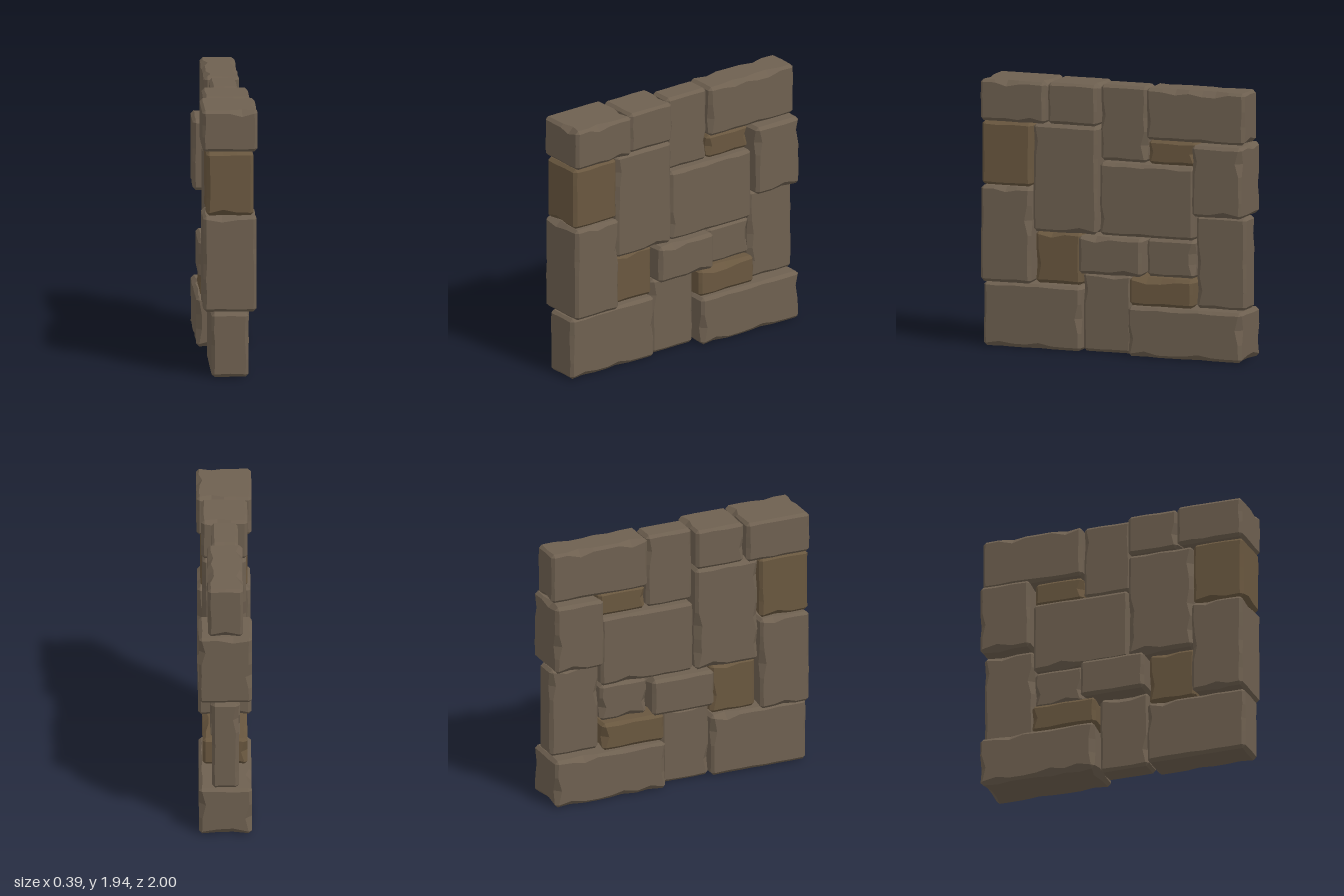
import * as THREE from 'three';

// Each stone: [z max, z min, y min, y max, half thickness, browner tint]
const STONES = [
  // top course
  [1.0, 0.505, 1.64, 1.94, 0.197], [0.495, 0.12, 1.64, 1.94, 0.165],
  [0.115, -0.24, 1.39, 1.94, 0.095], [-0.245, -1.0, 1.565, 1.94, 0.125],
  // middle courses
  [1.0, 0.62, 1.175, 1.635, 0.168, 1], [0.61, 0.12, 0.855, 1.635, 0.155],
  [0.11, -0.615, 0.855, 1.38, 0.13], [-0.25, -0.615, 1.385, 1.56, 0.09, 1],
  [-0.62, -1.0, 1.04, 1.555, 0.19], [1.0, 0.615, 0.475, 1.17, 0.19],
  [0.61, 0.26, 0.475, 0.85, 0.105, 1], [0.25, -0.235, 0.575, 0.85, 0.19],
  [-0.245, -0.61, 0.575, 0.85, 0.105], [-0.62, -1.0, 0.365, 1.035, 0.095],
  // bottom course
  [1.0, 0.255, 0.0, 0.465, 0.132], [0.25, -0.12, 0.0, 0.57, 0.09],
  [-0.13, -0.615, 0.365, 0.57, 0.16, 1], [-0.13, -1.0, 0.0, 0.36, 0.188],
];
const BEVEL = 0.022;

// Repeatable value in 0..1 from an integer key
function hash(n) {
  const s = Math.sin(n * 12.9898 + 4.137) * 43758.5453;
  return s - Math.floor(s);
}

// Box with bevelled edges; bevel width varies along each edge to make chips
function stoneGeometry(size, seed) {
  const segs = size.map((s) => Math.max(4, Math.round(s / 0.11) + 2));
  const geo = new THREE.BoxGeometry(1, 1, 1, ...segs);
  const pos = geo.attributes.position;

  function bevel(a, sa, b, sb, c, station) {
    if (station <= 1 || station >= segs[c] - 1) return BEVEL;
    // the key depends on the edge only, not on the order of its two faces
    const sides = a < b ? sa * 3 + sb : sb * 3 + sa;
    const key = seed * 97 + c * 31 + sides * 7 + station * 3.7;
    const chip = hash(key);
    return BEVEL * (0.75 + 0.5 * hash(key + 0.5)) + (chip > 0.84 ? 0.022 : 0);
  }

  for (let v = 0; v < pos.count; v++) {
    const unit = [pos.getX(v), pos.getY(v), pos.getZ(v)];
    const idx = unit.map((u, a) => Math.round((u + 0.5) * segs[a]));
    const sign = unit.map((u) => (u < 0 ? -1 : 1));
    const extreme = idx.map((i, a) => i === 0 || i === segs[a]);
    const near = idx.map((i, a) => i === 1 || i === segs[a] - 1);
    const count = extreme.filter(Boolean).length;
    const p = idx.map((i, a) => {
      const h = size[a] / 2;
      if (extreme[a]) return sign[a] * h;
      return -h + BEVEL + ((i - 1) / (segs[a] - 2)) * (size[a] - 2 * BEVEL);
    });
    if (count === 3) {
      for (let a = 0; a < 3; a++) p[a] -= sign[a] * BEVEL * 0.66;
    } else if (count === 2) {
      const c = extreme.indexOf(false), a = (c + 1) % 3, b = (c + 2) % 3;
      const w = bevel(a, sign[a], b, sign[b], c, idx[c]);
      p[a] -= sign[a] * w / 2;
      p[b] -= sign[b] * w / 2;
    } else {
      const a = extreme.indexOf(true);
      for (const b of [(a + 1) % 3, (a + 2) % 3]) {
        if (!near[b]) continue;
        const c = 3 - a - b;
        const w = bevel(a, sign[a], b, sign[b], c, idx[c]);
        p[b] = sign[b] * (size[b] / 2 - w);
      }
    }
    pos.setXYZ(v, ...p);
  }
  const flat = geo.toNonIndexed();
  flat.computeVertexNormals();
  return flat;
}

export function createModel() {
  const wall = new THREE.Group();
  wall.name = 'stoneWall';
  const materials = [0x6e6050, 0x69573f].map(
    (color) => new THREE.MeshStandardMaterial({ color, flatShading: true }));

  STONES.forEach(([z1, z0, y0, y1, half, tint = 0], i) => {
    const stone = new THREE.Mesh(
      stoneGeometry([half * 2, y1 - y0, z1 - z0], i + 1), materials[tint]);
    stone.position.set(0, (y0 + y1) / 2, (z0 + z1) / 2);
    stone.name = `stoneBlock${i + 1}`;
    wall.add(stone);
  });
  return wall;
}
